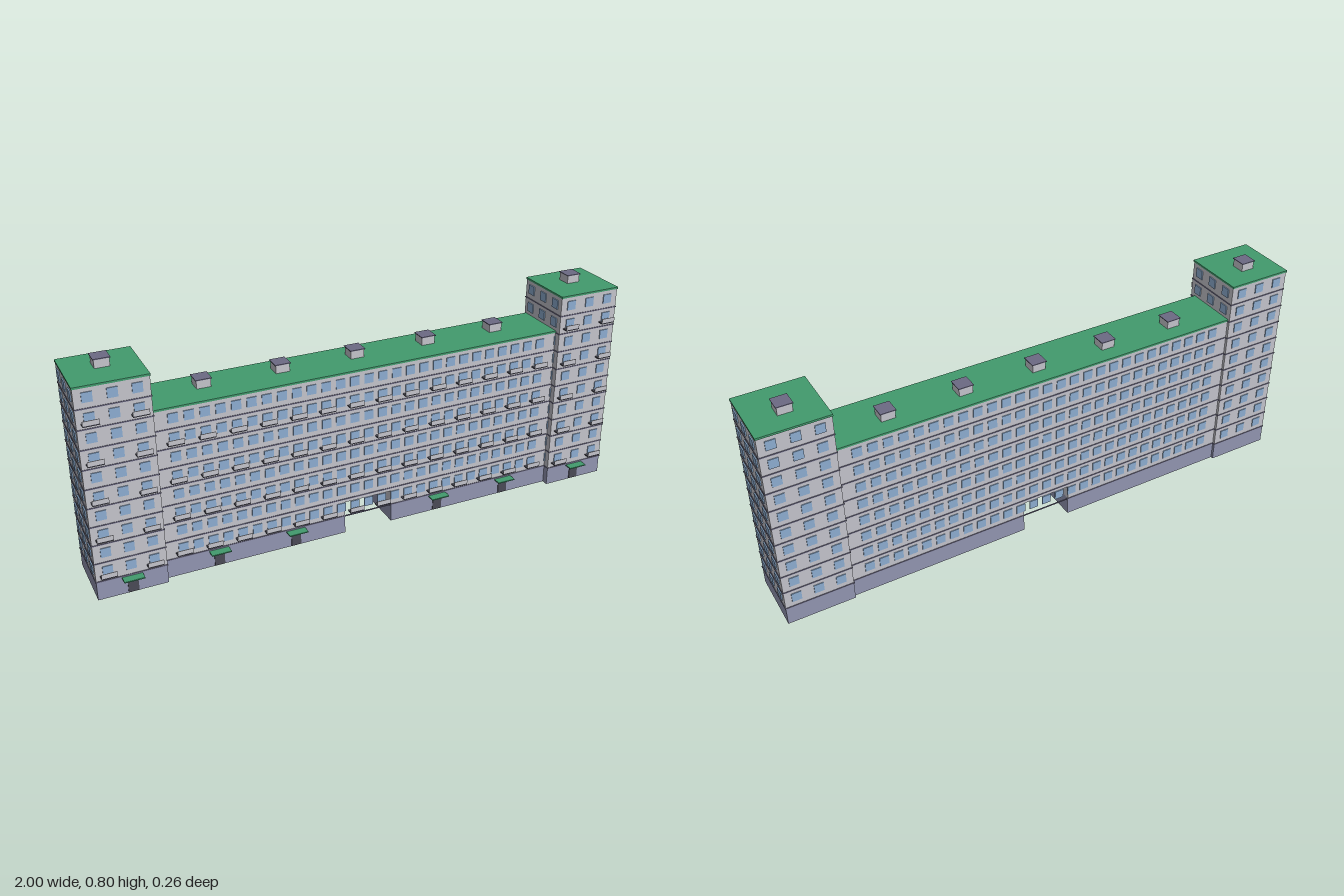
import * as THREE from 'three';
import { mergeGeometries } from 'three/addons/utils/BufferGeometryUtils.js';

const material = (name, color) => {
  const m = new THREE.MeshStandardMaterial({ color });
  m.name = name;
  return m;
};

// Main dimensions
const FLOOR = 0.0695, BASE = 0.07;
const TOWER = { x: 0.876, w: 0.24, front: 0.101, back: -0.127, floors: 10 };
const MAIN = { w: 1.512, front: 0.077, back: -0.117, floors: 8 };
const ARCH = { half: 0.092, top: 0.126 };
const WIN = 0.034, PROUD = 0.003;

// Box given by its limits
function box(x0, x1, y0, y1, z0, z1) {
  const g = new THREE.BoxGeometry(x1 - x0, y1 - y0, z1 - z0);
  g.translate((x0 + x1) / 2, (y0 + y1) / 2, (z0 + z1) / 2);
  return g;
}
// Box centred on x, with limits in y and z
const boxAt = (x, w, y0, y1, z0, z1) => box(x - w / 2, x + w / 2, y0, y1, z0, z1);

const floorY = (i) => BASE + i * FLOOR;

export function createModel() {
  const mats = {
    wall: material('wall grey', 0xc3c3cb),
    base: material('base lavender', 0x9194b0),
    band: material('band purple grey', 0x6c6a84),
    glass: material('window blue', 0x8cacd0),
    roof: material('roof green', 0x429b6e),
    dark: material('dark grey', 0x4a4a55),
  };
  const model = new THREE.Group();
  model.name = 'apartmentBlock';

  const add = (parent, name, mat, geometries) => {
    const mesh = new THREE.Mesh(mergeGeometries(geometries.map((g) => g.index ? g.toNonIndexed() : g)), mats[mat]);
    mesh.name = name;
    parent.add(mesh);
  };

  // Windows of one storey row on the front and back walls
  const windowPair = (x, y, d) => [
    boxAt(x, WIN, y + 0.021, y + 0.021 + WIN, d.front - 0.001, d.front + PROUD),
    boxAt(x, WIN, y + 0.021, y + 0.021 + WIN, d.back - PROUD, d.back + 0.001),
  ];

  // Balconies: dark slab with a pale front rail
  const addBalconies = (parent, xs, d) => {
    const slabs = [], rails = [];
    for (let f = 0; f < d.floors; f += 2) {
      const y = floorY(f) + 0.018;
      for (const x of xs) {
        slabs.push(boxAt(x, 0.054, y, y + 0.004, d.front, d.front + 0.022));
        rails.push(boxAt(x, 0.054, y + 0.004, y + 0.02, d.front + 0.02, d.front + 0.022));
      }
    }
    add(parent, 'balconySlabs', 'dark', slabs);
    add(parent, 'balconyRails', 'wall', rails);
  };

  // Entrances: door plate under a green canopy
  const addEntrances = (parent, xs, d) => {
    add(parent, 'doors', 'dark', xs.map((x) => boxAt(x, 0.036, 0.002, 0.056, d.front, d.front + PROUD)));
    add(parent, 'canopies', 'roof', xs.map((x) => boxAt(x, 0.07, 0.0605, 0.0645, d.front, d.front + 0.031)));
  };

  // Roof slab with capped stair heads
  const addRoof = (parent, x, w, d, xs, z) => {
    const y = floorY(d.floors);
    add(parent, 'roof', 'roof', [boxAt(x, w + 0.004, y, y + 0.007, d.back - 0.003, d.front + 0.003)]);
    add(parent, 'stairHeads', 'wall', xs.map((c) => boxAt(c, 0.05, y + 0.007, y + 0.036, z - 0.025, z + 0.025)));
    add(parent, 'stairHeadCaps', 'band', xs.map((c) => boxAt(c, 0.056, y + 0.036, y + 0.039, z - 0.028, z + 0.028)));
  };

  // Central block
  const block = new THREE.Group();
  block.name = 'centralBlock';
  model.add(block);
  const h = MAIN.w / 2, top = floorY(MAIN.floors);
  const outline = new THREE.Shape([
    [-h, BASE], [-ARCH.half, BASE], [-ARCH.half, ARCH.top], [ARCH.half, ARCH.top],
    [ARCH.half, BASE], [h, BASE], [h, top], [-h, top],
  ].map(([x, y]) => new THREE.Vector2(x, y)));
  const walls = new THREE.ExtrudeGeometry(outline, { depth: MAIN.front - MAIN.back, bevelEnabled: false });
  walls.translate(0, 0, MAIN.back);
  add(block, 'centralWalls', 'wall', [walls]);
  add(block, 'centralBase', 'base', [
    box(-h, -ARCH.half, 0, BASE, MAIN.back, MAIN.front),
    box(ARCH.half, h, 0, BASE, MAIN.back, MAIN.front),
  ]);

  const columns = Array.from({ length: 27 }, (_, i) => (i - 13) * 0.0531);
  const glass = [], bands = [];
  for (let f = 0; f < MAIN.floors; f++) {
    const y = floorY(f);
    for (const x of columns) glass.push(...windowPair(x, y, MAIN));
    bands.push(box(-h, h, y - 0.002, y + 0.002, MAIN.front - 0.001, MAIN.front + 0.002));
    bands.push(box(-h, h, y - 0.002, y + 0.002, MAIN.back - 0.002, MAIN.back + 0.001));
  }
  add(block, 'centralWindows', 'glass', glass);
  add(block, 'centralBands', 'band', bands);
  addBalconies(block, columns.filter((_, i) => i % 2 === 0), MAIN);
  addEntrances(block, [-0.567, -0.283, 0.283, 0.567], MAIN);
  addRoof(block, 0, MAIN.w, MAIN, [-2, -1, 0, 1, 2].map((i) => i * 0.277), -0.037);

  // End towers
  for (const side of [-1, 1]) {
    const tower = new THREE.Group();
    tower.name = side > 0 ? 'leftTower' : 'rightTower';
    model.add(tower);
    const { w, front, back, floors } = TOWER, cx = side * TOWER.x;
    const cols = [-1, 0, 1].map((i) => cx + i * 0.078);
    add(tower, 'towerWalls', 'wall', [boxAt(cx, w, BASE, floorY(floors), back, front)]);
    add(tower, 'towerBase', 'base', [boxAt(cx, w, 0, BASE, back, front)]);
    const panes = [], rings = [];
    for (let f = 0; f < floors; f++) {
      const y = floorY(f);
      for (const x of cols) panes.push(...windowPair(x, y, TOWER));
      // Side windows on the outer and inner walls
      for (const z of [0.063, -0.013, -0.089])
        for (const s of [-1, 1])
          panes.push(boxAt(cx + s * (w / 2 + 0.0015), 0.005, y + 0.021, y + 0.021 + WIN, z - WIN / 2, z + WIN / 2));
      rings.push(boxAt(cx, w + 0.004, y - 0.002, y + 0.002, back - 0.002, front + 0.002));
    }
    add(tower, 'towerWindows', 'glass', panes);
    add(tower, 'towerBands', 'band', rings);
    addBalconies(tower, [cols[0], cols[2]], TOWER);
    addEntrances(tower, [cx], TOWER);
    addRoof(tower, cx, w, TOWER, [cx], -0.03);
  }
  return model;
}
